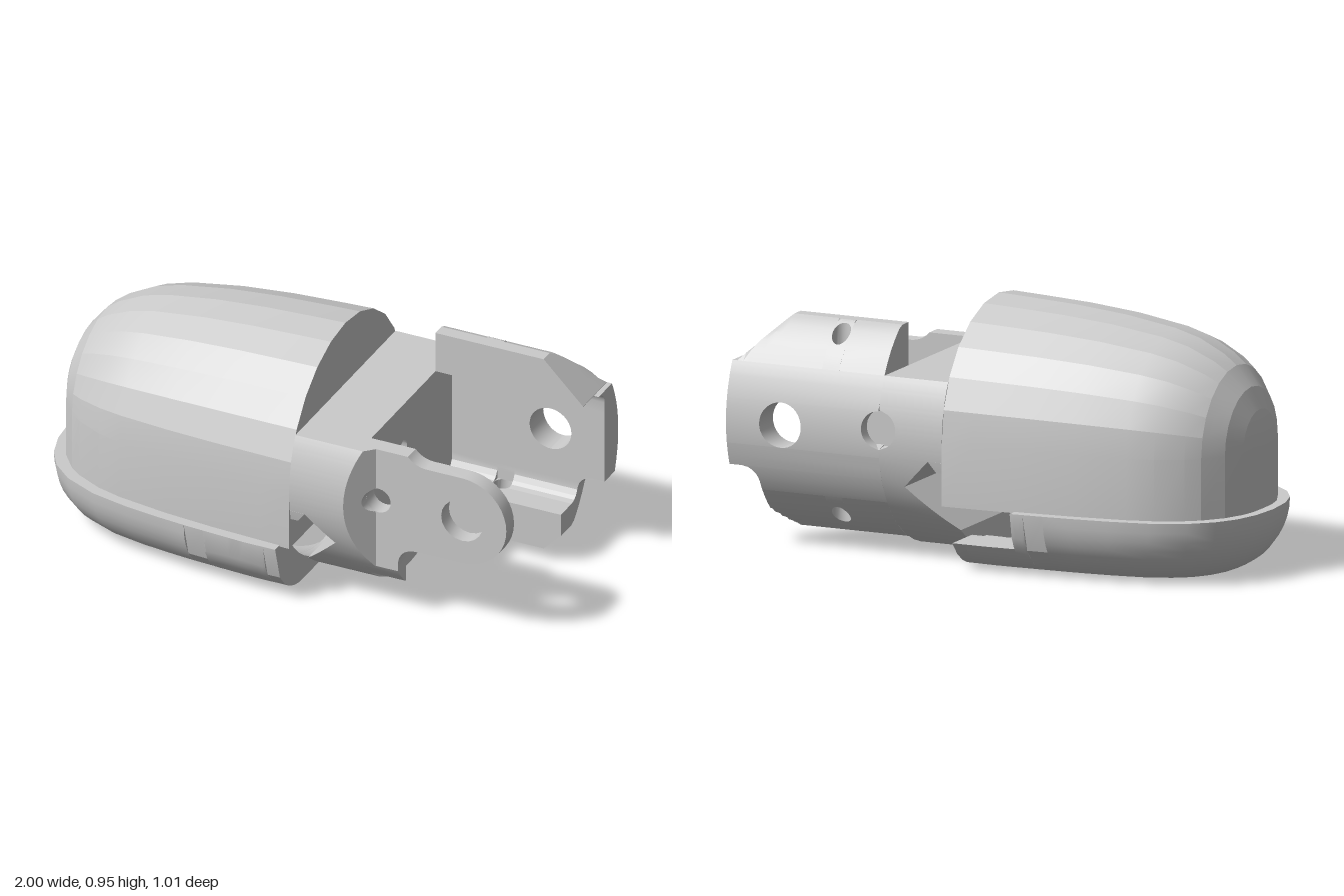
import * as THREE from 'three';
import { toCreasedNormals } from 'three/addons/utils/BufferGeometryUtils.js';

const R = 0.475; // radius of the round body, centred on y = R
const mat = new THREE.MeshStandardMaterial({ color: 0xcccccc, side: THREE.DoubleSide });
const seq = (a, b, n) => Array.from({ length: n + 1 }, (_, i) => a + (b - a) * i / n);
const round = (c, r, n) => seq(-Math.PI / 2, Math.PI / 2, n).map(a => c + r * Math.sin(a)); // stations across a bore
const half = (r, d) => Math.sqrt(Math.max(0, r * r - d * d)); // half chord of a circle
const wide = y => Math.max(0.002, half(R, y - R));

// Loft closed sections along 'y' (points x,z) or 'x' (points z,y), stations ascending
function loft(axis, stations, section) {
  const place = axis === 'y' ? (p, s) => [p[0], s, p[1]] : (p, s) => [s, p[1], p[0]];
  const rings = stations.map(section);
  const vecs = ring => ring.map(p => new THREE.Vector2(p[0], p[1]));
  if (THREE.ShapeUtils.area(vecs(rings[rings.length >> 1])) < 0) rings.forEach(r => r.reverse());
  const pos = [];
  const tri = (...c) => c.forEach(v => pos.push(...v));
  const last = rings.length - 1, n = rings[0].length;
  for (let k = 0; k < last; k++) {
    const [A, B, s, t] = [rings[k], rings[k + 1], stations[k], stations[k + 1]];
    for (let i = 0; i < n; i++) {
      const j = (i + 1) % n;
      const a0 = place(A[i], s), b0 = place(A[j], s), a1 = place(B[i], t), b1 = place(B[j], t);
      tri(a0, a1, b1);
      tri(a0, b1, b0);
    }
  }
  for (const k of [0, last]) {
    for (const f of THREE.ShapeUtils.triangulateShape(vecs(rings[k]), [])) {
      const p = f.map(i => rings[k][i]);
      const area = THREE.ShapeUtils.area(vecs(p));
      if (Math.abs(area) < 1e-9) continue;
      if ((area < 0) !== (k === last)) p.reverse();
      tri(...p.map(q => place(q, stations[k])));
    }
  }
  const g = new THREE.BufferGeometry();
  g.setAttribute('position', new THREE.Float32BufferAttribute(pos, 3));
  return g;
}

export function createModel() {
  const model = new THREE.Group();
  const add = (name, geometry, parent = model, crease = 0.35) => {
    const m = new THREE.Mesh(toCreasedNormals(geometry, crease), mat);
    m.name = name;
    parent.add(m);
  };
  const group = name => {
    const g = new THREE.Group();
    g.name = name;
    model.add(g);
    return g;
  };

  // Rounded fingertip: half circles of growing radius, straight-sided below
  const profile = [[-0.96, 0.002], [-0.957, 0.08], [-0.945, 0.14], [-0.91, 0.22], [-0.85, 0.295], [-0.8, 0.333],
    [-0.7, 0.383], [-0.6, 0.411], [-0.4, 0.442], [-0.2, 0.46], [0, 0.47], [0.12, R]];
  const radiusAt = new Map(profile);
  add('domeBody', loft('x', profile.map(p => p[0]), x => {
    const r = radiusAt.get(x);
    const arc = seq(0, Math.PI, 12).map(a => [r * Math.cos(a), R + r * Math.sin(a)]);
    return [...arc, [-r, 0.24], [r, 0.24]];
  }), model, 0.2);

  // Sole shell: solid rounded toe
  const shell = group('soleShell');
  const plan = [[-1, 0.002], [-0.99, 0.12], [-0.96, 0.22], [-0.91, 0.3], [-0.83, 0.37], [-0.7, 0.43],
    [-0.55, 0.463], [-0.4, 0.483], [-0.3, 0.493]];
  const edge = y => 0.28 + 0.23 * half(1, 1 - y / 0.245);
  const shellYs = seq(0, Math.PI / 2, 10).map(a => 0.245 * (1 - Math.cos(a)));
  add('soleToe', loft('y', shellYs, y => {
    const hw = edge(y);
    const side = s => plan.map(([x, z]) => [-0.3 + (x + 0.3) * (0.7 - 0.9 * (0.51 - hw)) / 0.7, s * z * hw / 0.51]);
    return [...side(1), ...side(-1).reverse()];
  }), shell);

  // Sole tail: trough with a round channel, a lowered rear rim and a round hole in its floor
  const tail = (xs, z0, z1) => add('soleTail', loft('x', xs, x => {
    const k = 0.967 + 0.033 * Math.min(1, (x + 0.3) / 0.25);
    const rim = x > -0.17 ? 0.105 : 0.245;
    const floor = z => 0.245 * (1 - half(1, Math.max(0, Math.abs(z) / k - 0.28) / 0.23));
    const a = z0(x) ?? -edge(rim) * k, b = z1(x) ?? edge(0.245) * k;
    const zs = seq(a, b, 24);
    const top = z => Math.max(floor(z), Math.min(z < 0 ? rim : 0.245, Math.max(floor(z) + 0.01, R - half(0.465, z))));
    return [...zs.map(z => [z, floor(z)]), ...zs.reverse().map(z => [z, top(z)])];
  }), shell);
  const free = () => undefined;
  const soleHole = x => half(0.125, x + 0.095);
  const holeXs = [...round(-0.095, 0.125, 16), -0.17, -0.1699].sort((a, b) => a - b);
  tail([-0.3, -0.22], free, free);
  tail(holeXs, free, x => -soleHole(x));
  tail(holeXs, soleHole, free);
  tail([0.03, 0.08], free, free);

  // Connector: round block with a V notch behind, a bore in its face and a bevelled shoulder
  const pinHalf = y => half(0.07, y - 0.5);
  const pinFloor = (y, w) => pinHalf(y) > 0 ? -Math.min(w, 0.425) : -w;
  const connYs = [0.0005, 0.004, 0.015, 0.035, 0.07, 0.12, 0.16, 0.2, 0.245, 0.29, 0.33, 0.37, 0.4, 0.4005,
    ...seq(0.41, 0.695, 38)];
  add('connector', loft('y', connYs, y => {
    const w = wide(y);
    const back = y <= 0.12 || y > 0.4 ? 0.12 : y < 0.29 ? y : 0.58 - y;
    const bore = 0.03 * half(1, Math.min(1, Math.abs(y - 0.5) / 0.045));
    const e = Math.min(0.43, 0.44 - half(0.05, y - 0.48));
    const shoulder = w > 0.385
      ? [[Math.min(e, 0.815 - w), w], [e, Math.min(w, 0.815 - e)], [e, 0.385], [0.38, 0.385]]
      : [[0.38, w], [0.38, w], [0.38, w], [0.38, w]];
    const inner = Math.min(0.05, w * 0.5), floor = pinFloor(y, w), pin = 0.38 - pinHalf(y);
    return [[back, -w], [back, w], ...shoulder, [0.38, inner + bore], [0.2, inner + bore],
      [0.2, inner - bore], [0.38, inner - bore], [0.38, floor], [pin, floor], [pin, -w]];
  }));
  add('notchLip', loft('y', [0.36, 0.38, 0.4], y => {
    const w = wide(y), x = 0.15 + (y - 0.36) * 0.75;
    return [[0.12, -w], [0.12, w], [x, w], [x, -w]];
  }));

  // Front arm: flat lug with a pivot hole and a pin hole, its foot following the round body
  const frontArm = group('frontArm');
  const arm = new THREE.Shape();
  arm.moveTo(0.38, 0.2);
  arm.lineTo(0.52, 0.2);
  arm.lineTo(0.52, 0.24);
  arm.quadraticCurveTo(0.53, 0.3, 0.6, 0.3);
  arm.lineTo(0.78, 0.3);
  arm.absarc(0.78, 0.48, 0.18, -Math.PI / 2, Math.PI / 2, false);
  arm.lineTo(0.64, 0.66);
  arm.quadraticCurveTo(0.59, 0.66, 0.56, 0.695);
  arm.lineTo(0.38, 0.695);
  for (const [x, r] of [[0.78, 0.085], [0.44, 0.05]]) {
    arm.holes.push(new THREE.Path().absarc(x, 0.48, r, 0, Math.PI * 2, true));
  }
  const armGeo = new THREE.ExtrudeGeometry(arm, { depth: 0.065, bevelEnabled: false, curveSegments: 10 });
  add('lug', armGeo.translate(0, 0, 0.32), frontArm);
  add('lugFoot', loft('y', seq(0.128, 0.2, 4), y => {
    const w = Math.min(0.385, wide(y));
    return [[0.38, 0.32], [0.52, 0.32], [0.52, w], [0.38, w]];
  }), frontArm);

  // Rear plate: curved web with a pivot hole and an outer pin recess
  const plate = group('rearPlate');
  const inside = y => {
    const d = Math.max(0, 0.05 - Math.min(y - 0.215, 0.695 - y));
    return -0.31 - half(0.05, d);
  };
  const rightEnd = y => y > 0.31 ? 1 : y < 0.25 ? 0.89 : 0.95 - half(0.06, y - 0.25);
  const pivot = y => half(0.085, y - 0.48);
  const web = (name, ys, x0, x1) => add(name, loft('y', ys, y => {
    const a = x0(y), b = x1(y), w = wide(y), z = inside(y), p = 0.38 + pinHalf(y), floor = pinFloor(y, w);
    const outer = a < 0.4 ? [[a, floor], [p, floor], [p, -w]] : [[a, -w]];
    const l = Math.max(a, 0.565), r = Math.max(a, 0.635);
    return [...outer, [b, -w], [b, z], [r, z], [r, -0.36], [l, -0.36], [l, z], [a, z]];
  }), plate);
  const start = () => 0.38;
  const pivotYs = round(0.48, 0.085, 18);
  web('webLower', [0.215, 0.22, 0.23, 0.25, 0.265, 0.28, 0.295, 0.305, 0.31, 0.3101, 0.35, 0.395], start, rightEnd);
  web('webInner', pivotYs, start, y => 0.78 - pivot(y));
  web('webOuter', pivotYs, y => 0.78 + pivot(y), rightEnd);
  web('webUpper', [0.565, 0.5699, 0.6, 0.645, 0.66, 0.675, 0.685, 0.69, 0.695], start, rightEnd);

  // Upper and lower lips of the plate, each drilled by a vertical hole
  const drill = x => half(0.035, x - 0.6);
  const drillXs = round(0.6, 0.035, 10);
  for (const [name, s, base, limit, endX] of [['upperLip', 1, 0.695, 0.857, 0.98], ['lowerLip', -1, 0.215, 0.055, 0.89]]) {
    const rimZ = -wide(base);
    const lip = (xs, z0, z1) => add(name, loft('x', xs, x => {
      const a = z0(x), b = z1(x);
      const cap = s * limit - Math.max(0, x - 0.82);
      const rim = seq(a, b, 8).map(z => [z, s * Math.max(s * base, Math.min(s * R + half(R, z), cap))]);
      return [...rim, [b, base], [a, base]];
    }), plate);
    const outer = () => rimZ, inner = () => -0.22;
    lip([0.38, 0.565], outer, inner);
    lip(drillXs, outer, x => -0.33 - drill(x));
    lip(drillXs, x => -0.33 + drill(x), inner);
    lip([0.635, 0.82, ...seq(0.835, endX, 6)], outer, inner);
  }
  return model;
}
